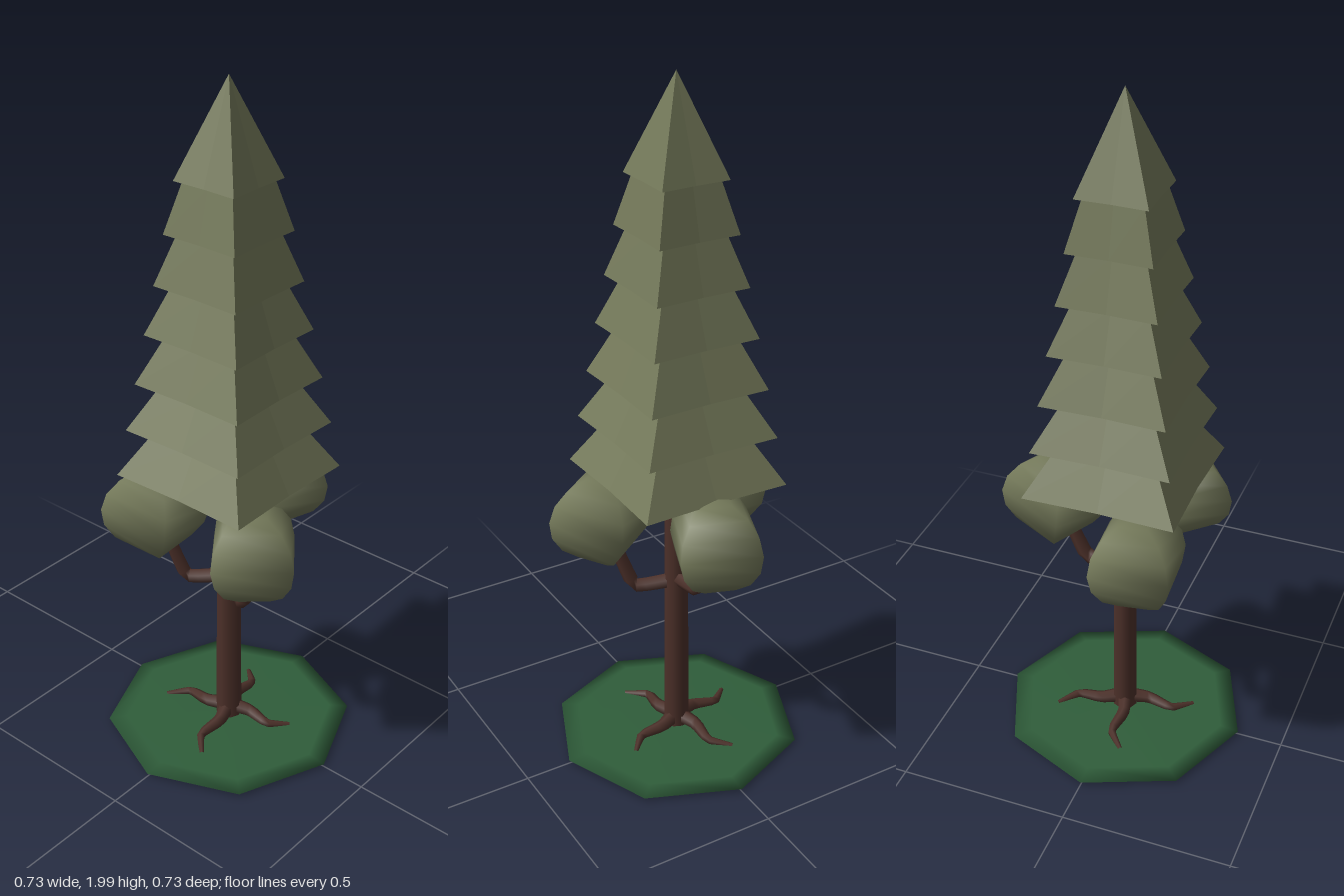
import * as THREE from 'three';

const V = (x, y, z) => new THREE.Vector3(x, y, z);

function material(name, color) {
  const m = new THREE.MeshStandardMaterial({ color });
  m.name = name;
  return m;
}

// Bent limb that tapers from radius r0 to r1 along its points
function limbGeometry(points, r0, r1) {
  const curve = new THREE.CatmullRomCurve3(points, false, 'centripetal');
  curve.curveType = 'catmullrom';
  curve.tension = 0.15;
  const steps = 10, sides = 6;
  const geo = new THREE.TubeGeometry(curve, steps, 1, sides, false);
  const pos = geo.attributes.position;
  const v = V(0, 0, 0);
  for (let i = 0; i < pos.count; i++) {
    const t = Math.floor(i / (sides + 1)) / steps;
    const c = curve.getPointAt(t);
    v.fromBufferAttribute(pos, i).sub(c).multiplyScalar(r0 + (r1 - r0) * t).add(c);
    pos.setXYZ(i, v.x, v.y, v.z);
  }
  return geo;
}

// Square tier whose edges are pinched slightly inward at the middle
function tierGeometry(top, bottom, height) {
  const geo = new THREE.CylinderGeometry(top * Math.SQRT2, bottom * Math.SQRT2, height, 8);
  const pos = geo.attributes.position;
  for (let i = 0; i < pos.count; i++) {
    const x = pos.getX(i), z = pos.getZ(i);
    if (Math.min(Math.abs(x), Math.abs(z)) < 1e-4) {
      pos.setX(i, x * 0.97 / Math.SQRT2);
      pos.setZ(i, z * 0.97 / Math.SQRT2);
    }
  }
  const flat = geo.toNonIndexed();
  flat.computeVertexNormals();
  return flat;
}

export function createModel() {
  const tree = new THREE.Group();
  tree.name = 'tree';
  const leaf = material('foliage', 0x737859);
  const bark = material('bark', 0x4c3029);
  const grass = material('grass', 0x2f5d3a);
  bark.side = THREE.DoubleSide;

  const add = (name, geo, mat) => {
    const mesh = new THREE.Mesh(geo, mat);
    mesh.name = name;
    tree.add(mesh);
    return mesh;
  };

  // Thin eight-sided patch of ground
  const rim = [[0, 0.012], [0.31, 0.013], [0.365, 0.02], [0.31, 0.027], [0, 0.029]];
  add('ground', new THREE.LatheGeometry(rim.map(p => new THREE.Vector2(...p)), 8), grass);

  // Trunk
  const trunk = new THREE.CylinderGeometry(0.033, 0.038, 0.88, 8);
  add('trunk', trunk, bark).position.y = 0.46;

  // Roots, each with a sideways kink
  [[-0.2, 0.065], [0.07, 0.18], [0.19, -0.08], [-0.06, -0.2]].forEach(([x, z]) => {
    add('root', limbGeometry([
      V(0, 0.055, 0),
      V(x * 0.35, 0.045, z * 0.35),
      V(x * 0.68 - z * 0.15, 0.035, z * 0.68 + x * 0.15),
      V(x, 0.025, z),
    ], 0.024, 0.007), bark);
  });

  // Short forks spreading under the crown
  for (let i = 0; i < 4; i++) {
    const a = Math.PI / 4 + i * Math.PI / 2;
    const x = Math.cos(a), z = Math.sin(a);
    add('fork', limbGeometry([
      V(x * 0.012, 0.78, z * 0.012), V(x * 0.03, 0.85, z * 0.03), V(x * 0.06, 0.93, z * 0.06),
    ], 0.018, 0.014), bark);
  }

  // Side branches, each carrying a four-sided rounded leaf clump
  const clumps = [
    { elbow: [0.12, 0.56, 0], at: [0.21, 0.755, 0], turn: 0.38 },
    { elbow: [-0.06, 0.51, 0.105], at: [-0.11, 0.735, 0.18], turn: -0.12 },
    { elbow: [-0.06, 0.51, -0.11], at: [-0.105, 0.73, -0.185], turn: 0.9 },
  ];
  clumps.forEach(({ elbow, at, turn }) => {
    const e = V(...elbow), c = V(...at);
    const start = V(0, e.y > 0.53 ? 0.54 : 0.53, 0);
    add('branch', limbGeometry([start, e, e.clone().lerp(c, 0.7)], 0.024, 0.018), bark);

    const geo = new THREE.SphereGeometry(0.158, 4, 8);
    geo.scale(1, 0.86, 1);
    geo.rotateY(turn);
    const clump = add('leafClump', geo, leaf);
    clump.position.copy(c);
    // Lean the top slightly toward the trunk
    clump.quaternion.setFromAxisAngle(V(-c.z, 0, c.x).normalize(), 0.1);
  });

  // Crown of seven stacked tiers, widest at the bottom
  const bottoms = [0.88, 1.02, 1.16, 1.305, 1.445, 1.587, 1.73, 2];
  const topHalf = [0.14, 0.127, 0.117, 0.106, 0.095, 0.083, 0];
  topHalf.forEach((top, i) => {
    const height = bottoms[i + 1] - bottoms[i];
    const tier = add('crownTier', tierGeometry(top, 0.22 - i * 0.02, height), leaf);
    tier.position.y = bottoms[i] + height / 2;
  });

  return tree;
}
